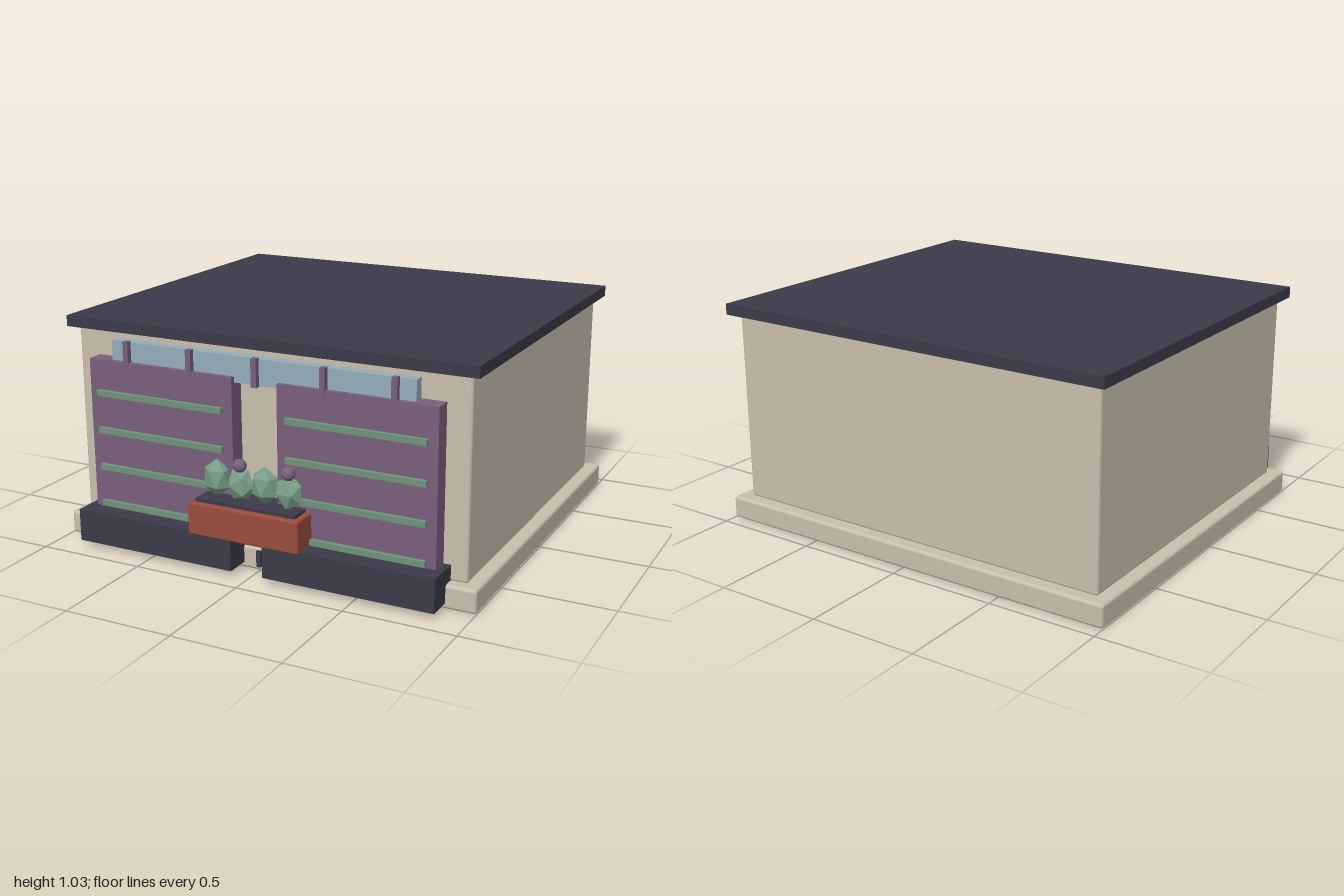
import * as THREE from 'three';
import { RoundedBoxGeometry } from 'three/addons/geometries/RoundedBoxGeometry.js';

const paint = (name, color, flatShading = false) => {
  const m = new THREE.MeshStandardMaterial({ color, flatShading });
  m.name = name;
  return m;
};

export function createModel() {
  const group = new THREE.Group();
  const stone = paint('warm stone', 0xc9bfae);
  const slate = paint('dark slate', 0x3c3a49);
  const plum = paint('plum', 0x785f7c);
  const sage = paint('sage green', 0x6f937b);
  const leaf = paint('leaf green', 0x7a9f88, true);
  const petal = paint('petal plum', 0x785f7c, true);
  const glass = paint('pale blue glass', 0x96adba);
  const clay = paint('terracotta', 0x9a4c3d);

  const add = (name, geometry, material) => {
    const mesh = new THREE.Mesh(geometry, material);
    mesh.name = name;
    group.add(mesh);
    return mesh;
  };
  // Box given by its limits on each axis; a radius rounds the edges
  const box = (name, material, [x0, x1], [y0, y1], [z0, z1], radius = 0) => {
    const size = [x1 - x0, y1 - y0, z1 - z0];
    const geometry = radius
      ? new RoundedBoxGeometry(...size, 2, radius)
      : new THREE.BoxGeometry(...size);
    add(name, geometry, material).position.set((x0 + x1) / 2, (y0 + y1) / 2, (z0 + z1) / 2);
  };

  // Building shell
  box('foundationSlab', stone, [-1, 1], [0, 0.105], [-0.94, 0.797], 0.014);
  box('walls', stone, [-0.94, 0.94], [0.1, 0.985], [-0.88, 0.742], 0.014);
  box('roof', slate, [-0.98, 0.98], [0.98, 1.03], [-0.925, 0.778]);

  // Two front panels with ledges, each standing on a plinth
  for (const s of [-1, 1]) {
    const span = (a, b) => (s > 0 ? [a, b] : [-b, -a]);
    box('plinth', slate, span(0.077, 0.866), [0.026, 0.174], [0.74, 0.912]);
    box('facadePanel', plum, span(0.108, 0.833), [0.17, 0.86], [0.74, 0.82]);
    for (let i = 0; i < 4; i++) {
      const y = 0.195 + i * 0.172;
      box('ledge', sage, span(0.153, 0.79), [y - 0.013, y + 0.013], [0.815, 0.84]);
    }
  }

  // High window strip with mullions
  box('windowStrip', glass, [-0.726, 0.726], [0.834, 0.95], [0.75, 0.798]);
  for (let i = -2; i <= 2; i++) {
    const x = i * 0.32;
    box('mullion', plum, [x - 0.013, x + 0.013], [0.83, 0.955], [0.795, 0.822]);
  }

  // Small brackets on the slab edge
  for (const x of [-0.62, 0, 0.62]) {
    box('slabBracket', slate, [x - 0.01, x + 0.01], [0.02, 0.094], [0.79, 0.81]);
  }

  // Planter and soil
  box('planter', clay, [-0.266, 0.266], [0.176, 0.321], [0.742, 0.943], 0.008);
  box('soil', slate, [-0.24, 0.24], [0.3, 0.336], [0.766, 0.917]);

  // Faceted plants, every second one with a flower
  for (let i = 0; i < 4; i++) {
    const x = -0.181 + i * 0.117;
    const flowering = i % 2 === 1;
    const geometry = new THREE.IcosahedronGeometry(0.068, 0);
    if (!flowering) geometry.rotateZ(0.55);
    geometry.rotateY(i * 0.5);
    geometry.scale(1, flowering ? 1.15 : 1.25, 0.72);
    add('plant', geometry, leaf).position.set(x, flowering ? 0.4 : 0.412, 0.834);
    if (flowering) {
      const flower = add('flower', new THREE.IcosahedronGeometry(0.031, 1), petal);
      flower.position.set(x + 0.002, 0.486, 0.843);
    }
  }
  return group;
}
